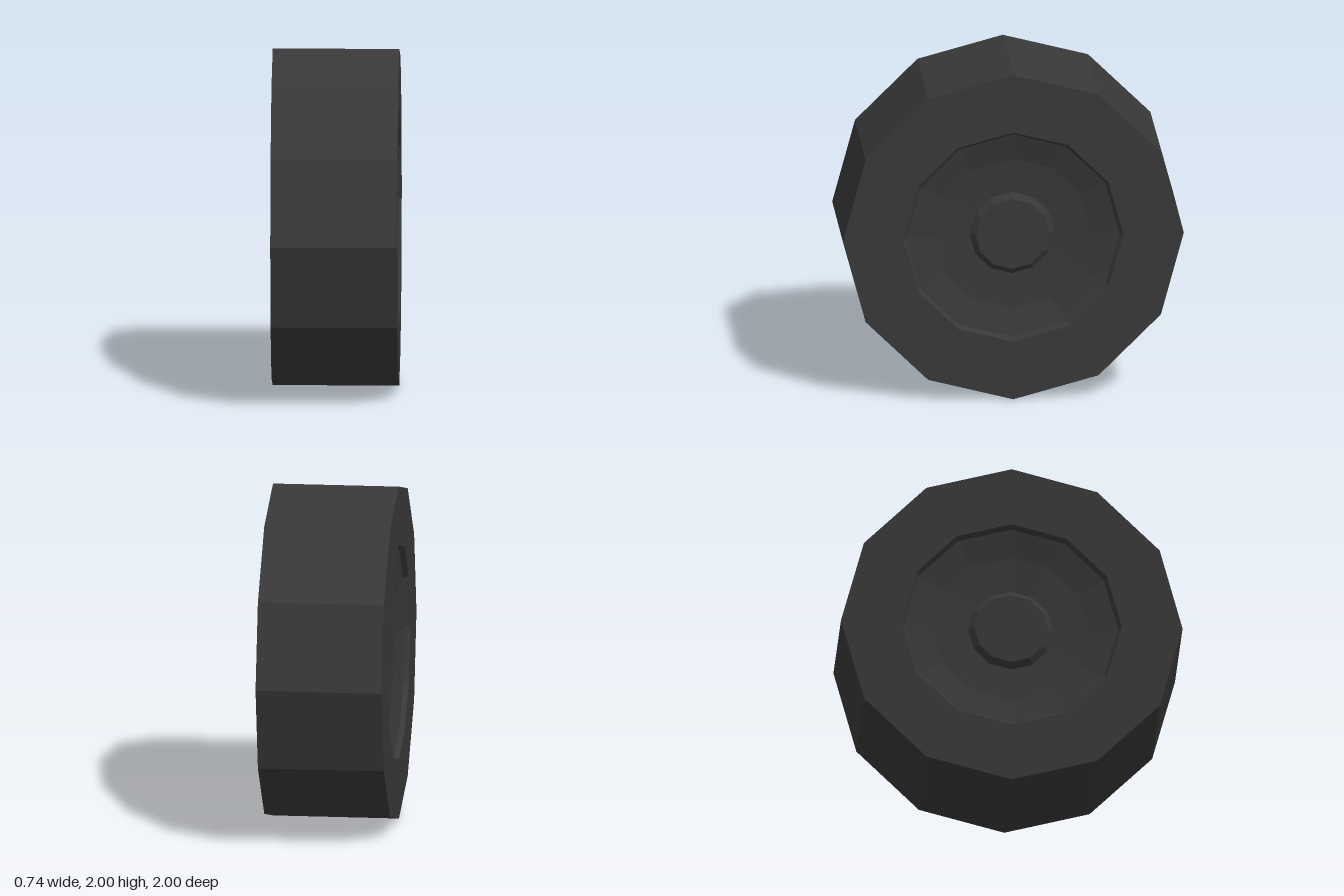
import * as THREE from 'three';

const SIDES = 12;

export function createModel() {
  const rubber = new THREE.MeshStandardMaterial({ color: 0x383838 });
  rubber.name = 'dark rubber';
  rubber.flatShading = true;

  const wheel = new THREE.Group();
  wheel.name = 'wheel';
  wheel.position.y = 1;

  // Each profile is [radius, distance along the axle], lathed about the axle
  const addPart = (parent, name, profile, flip) => {
    const points = profile.map(([r, a]) => new THREE.Vector2(r, a));
    const mesh = new THREE.Mesh(new THREE.LatheGeometry(points, SIDES), rubber);
    mesh.name = name;
    mesh.rotation.z = flip ? Math.PI / 2 : -Math.PI / 2;
    parent.add(mesh);
  };

  // Tread and flat side walls
  addPart(wheel, 'tyre', [[0.645, -0.37], [1, -0.37], [1, 0.37], [0.645, 0.37]], false);

  // The same recessed rim and raised hub on both sides
  for (const flip of [false, true]) {
    const side = flip ? 'right' : 'left';
    addPart(wheel, side + 'RimLip', [[0.645, 0.37], [0.625, 0.34]], flip);
    addPart(wheel, side + 'RimDish', [[0.625, 0.34], [0.46, 0.3], [0.25, 0.283]], flip);
    addPart(wheel, side + 'HubCap', [[0.25, 0.283], [0.215, 0.312], [0, 0.312]], flip);
  }

  const model = new THREE.Group();
  model.name = 'model';
  model.add(wheel);
  return model;
}
